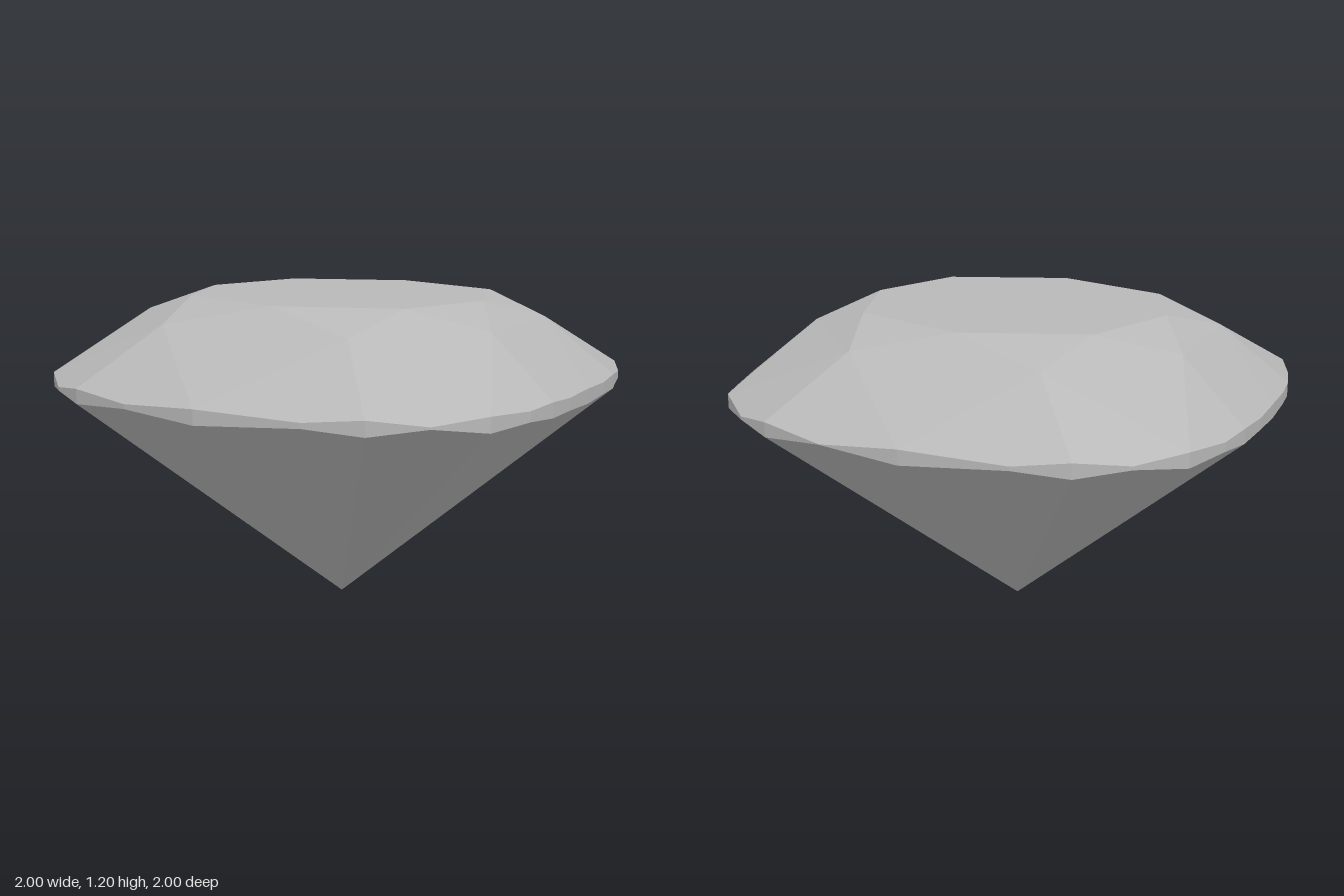
import * as THREE from 'three';

const gemGrey = new THREE.MeshStandardMaterial({ color: 0xb8b8b8, flatShading: true });
gemGrey.name = 'gem grey';

// Cushion outline [x, z], counterclockwise from the front; every 4th point is a main corner
const outline = [
  [0, 1], [0.38, 0.95], [0.58, 0.89], [0.76, 0.79],
  [0.9, 0.64], [0.96, 0.45], [0.985, 0.31], [0.997, 0.18],
  [1, 0], [0.996, -0.18], [0.98, -0.34], [0.945, -0.51],
  [0.88, -0.66], [0.71, -0.83], [0.56, -0.91], [0.3, -0.985],
  [0, -1], [-0.38, -0.965], [-0.57, -0.91], [-0.74, -0.81],
  [-0.88, -0.66], [-0.95, -0.48], [-0.98, -0.34], [-0.996, -0.18],
  [-1, 0], [-0.997, 0.18], [-0.985, 0.31], [-0.95, 0.48],
  [-0.89, 0.65], [-0.73, 0.81], [-0.58, 0.89], [-0.31, 0.965],
];
// Table corners, and the points where star facets meet the crown facets
const tableOutline = [[0, 0.52], [0.45, 0.36], [0.59, 0], [0.45, -0.39], [0, -0.55], [-0.45, -0.39], [-0.59, 0], [-0.45, 0.36]];
const starOutline = [[0.38, 0.64], [0.73, 0.25], [0.73, -0.26], [0.36, -0.66], [-0.36, -0.66], [-0.73, -0.26], [-0.73, 0.25], [-0.38, 0.64]];

const raise = (points, y) => points.map(([x, z]) => new THREE.Vector3(x, y, z));

// Drop the odd girdle points onto the plane of the facet they belong to
function settle(rim, apexOf) {
  for (let i = 1; i < rim.length; i += 2) {
    const p = rim[i];
    const n = new THREE.Plane().setFromCoplanarPoints(apexOf(i), rim[i - 1], rim[(i + 1) % rim.length]);
    p.y = -(n.normal.x * p.x + n.normal.z * p.z + n.constant) / n.normal.y;
  }
  return rim;
}

function facetMesh(name, triangles) {
  const geometry = new THREE.BufferGeometry().setFromPoints(triangles.flat());
  geometry.computeVertexNormals();
  const mesh = new THREE.Mesh(geometry, gemGrey);
  mesh.name = name;
  return mesh;
}

export function createModel() {
  const gem = new THREE.Group();
  gem.name = 'cushionCutGem';

  const culet = new THREE.Vector3(0, 0, 0);
  const table = raise(tableOutline, 1.2);
  const star = raise(starOutline, 1.125);
  const upper = settle(raise(outline, 0.912), (i) => star[Math.floor(i / 4)]);
  const lower = settle(raise(outline, 0.857), () => culet);

  // Flat table on top
  const tableTris = [];
  for (let i = 1; i < 7; i++) tableTris.push([table[0], table[i], table[i + 1]]);
  gem.add(facetMesh('table', tableTris));

  // Crown: star triangles, kites and upper girdle facets
  const crownTris = [];
  for (let s = 0; s < 8; s++) {
    const previous = star[(s + 7) % 8];
    crownTris.push([table[s], star[s], table[(s + 1) % 8]]);
    crownTris.push([table[s], previous, star[s]]);
    crownTris.push([previous, upper[s * 4], star[s]]);
    for (let k = 0; k < 4; k++) {
      crownTris.push([star[s], upper[s * 4 + k], upper[(s * 4 + k + 1) % 32]]);
    }
  }
  gem.add(facetMesh('crown', crownTris));

  // Thin girdle band and pavilion facets running to the culet
  const girdleTris = [];
  const pavilionTris = [];
  for (let i = 0; i < 32; i++) {
    const j = (i + 1) % 32;
    girdleTris.push([lower[i], lower[j], upper[j]], [lower[i], upper[j], upper[i]]);
    pavilionTris.push([culet, lower[j], lower[i]]);
  }
  gem.add(facetMesh('girdle', girdleTris), facetMesh('pavilion', pavilionTris));

  return gem;
}
